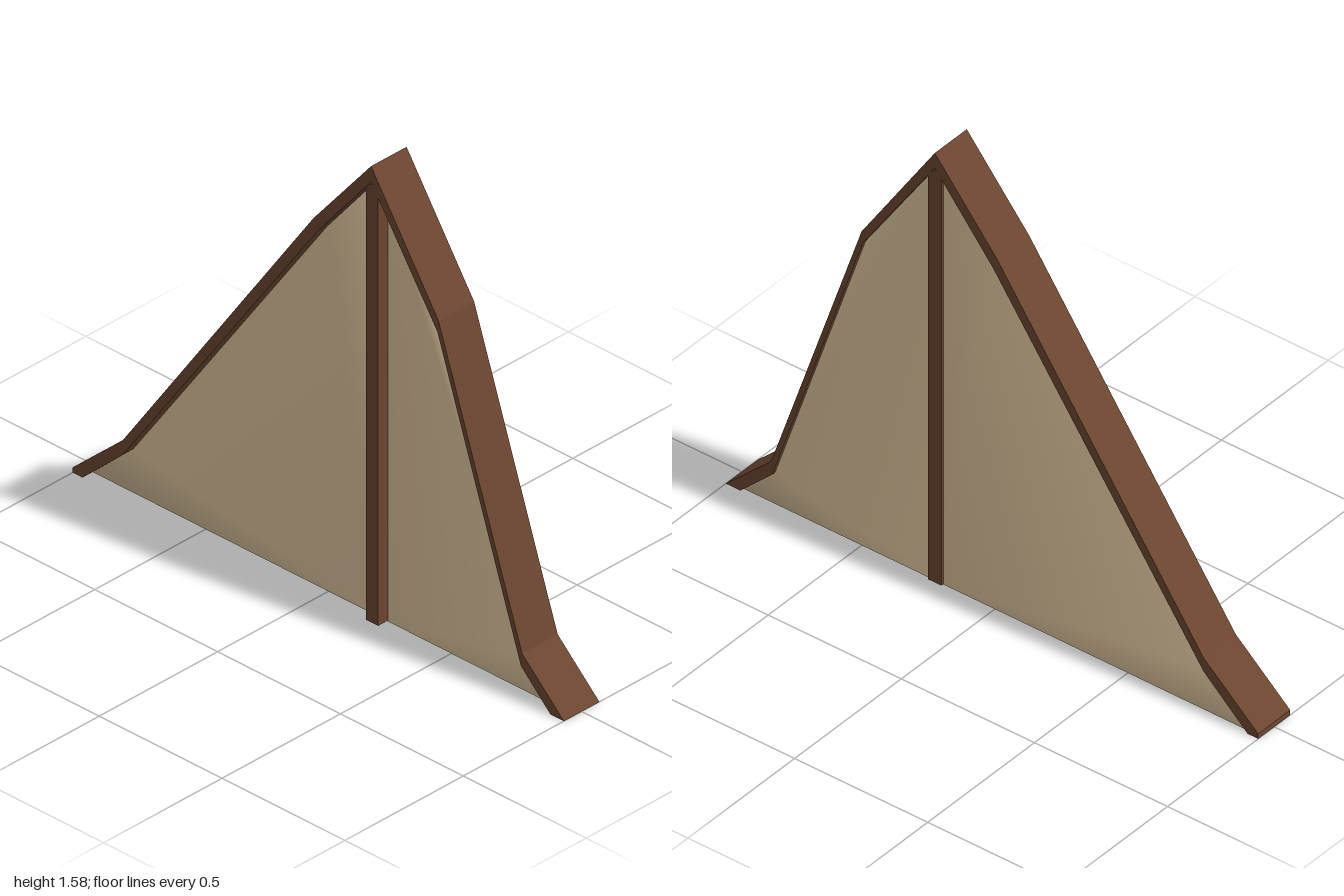
import * as THREE from 'three';
import { mergeVertices } from 'three/addons/utils/BufferGeometryUtils.js';

const DEPTH = 0.15, RIDGE = 0.215;

// Extrude a 2D outline between two z planes
function slab(points, z0, z1) {
  const shape = new THREE.Shape(points.map(([x, y]) => new THREE.Vector2(x, y)));
  const geo = new THREE.ExtrudeGeometry(shape, { depth: z1 - z0, bevelEnabled: false });
  return geo.translate(0, 0, z0);
}

// Share corners so that the shading runs softly over the edges
function soften(geo) {
  geo.deleteAttribute('normal');
  geo.deleteAttribute('uv');
  const merged = mergeVertices(geo, 1e-4);
  merged.computeVertexNormals();
  return merged;
}

export function createModel() {
  const wood = new THREE.MeshStandardMaterial({ color: 0x6b4530 });
  wood.name = 'dark wood';
  const plaster = new THREE.MeshStandardMaterial({ color: 0xd8c09a });
  plaster.name = 'pale plaster';

  const model = new THREE.Group();
  model.name = 'gableWall';
  const add = (name, geo, mat) => {
    const mesh = new THREE.Mesh(geo, mat);
    mesh.name = name;
    model.add(mesh);
  };

  // Roof line: outer and inner edges, from each foot up to the peak
  const outerRight = [[-1, 0], [-1, 0.018], [-0.795, 0.2], [-0.02, 1.295], [RIDGE, 1.575]];
  const innerRight = [[-0.96, 0], [-0.795, 0.15], [-0.005, 1.255], [RIDGE, 1.52]];
  const outerLeft = [[1, 0], [0.83, 0.16], [0.49, 1.16], [RIDGE, 1.575]];
  const innerLeft = [[0.945, 0], [0.825, 0.115], [0.485, 1.12], [RIDGE, 1.52]];

  // Bent rafters along both slopes
  const rafter = (outer, inner) => slab([...outer, ...[...inner].reverse()], -DEPTH / 2, DEPTH / 2);
  add('rightRafter', rafter(outerRight, innerRight), wood);
  add('leftRafter', rafter(outerLeft, innerLeft), wood);

  // Infill panels, set back further at the front than at the rear
  const panel = (inner) => soften(slab([...inner, [RIDGE, 0]], -0.062, 0.032));
  add('rightPanel', panel(innerRight), plaster);
  add('leftPanel', panel(innerLeft), plaster);

  // Upright post under the peak
  const post = new THREE.BoxGeometry(0.05, 1.507, DEPTH - 0.004);
  post.translate(RIDGE + 0.002, 0.003 + 1.507 / 2, 0);
  add('post', post, wood);

  return model;
}
